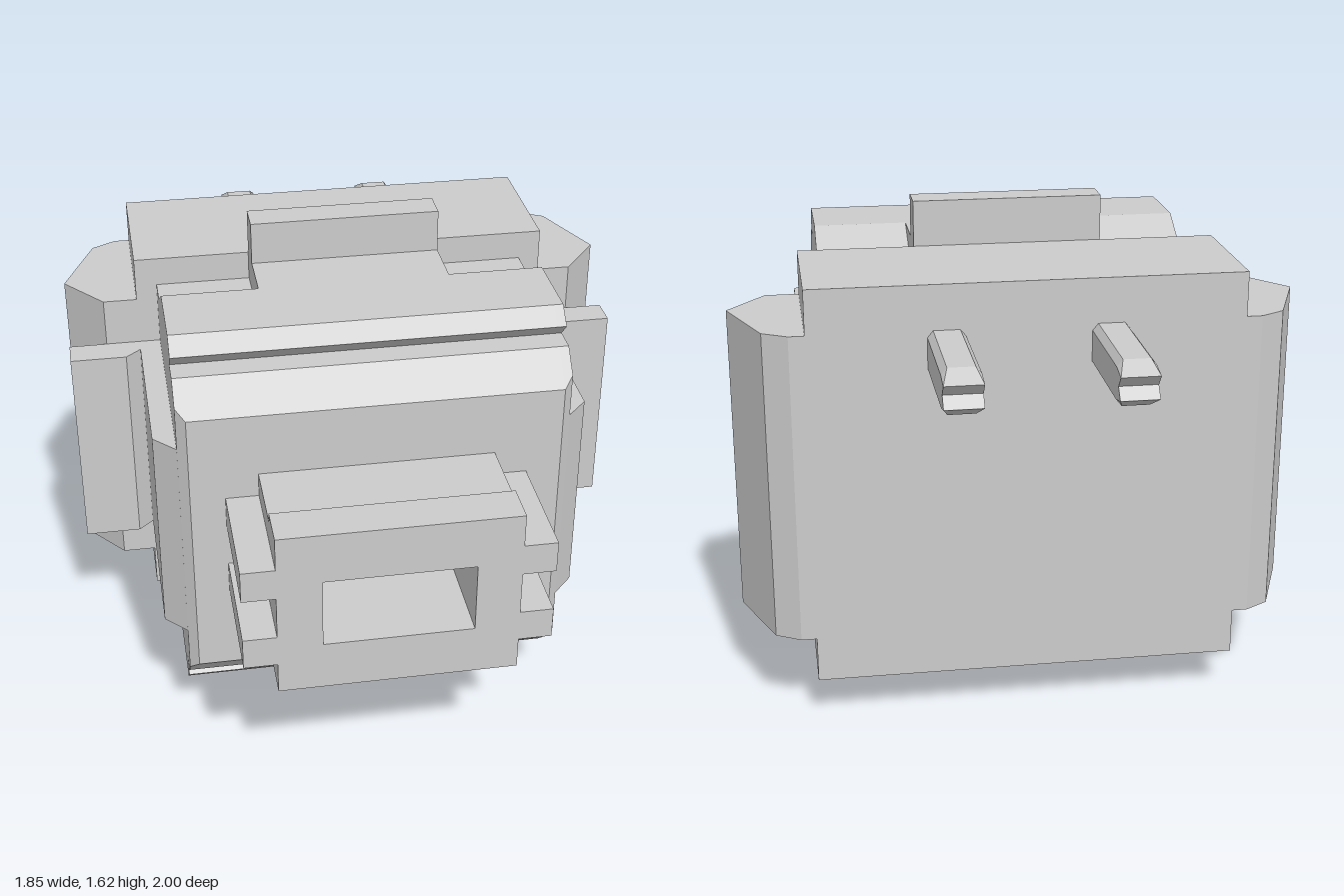
import * as THREE from 'three';

const CY = 0.81; // height of the horizontal symmetry plane
const mat = new THREE.MeshStandardMaterial({ color: 0xcccccc, flatShading: true });

const shapeOf = (pts) => new THREE.Shape(pts.map(([x, y]) => new THREE.Vector2(x, y)));
const mirrorX = (pts) => [...pts, ...pts.map(([x, y]) => [-x, y]).reverse()];
const mirrorY = (pts) => [...pts, ...pts.map(([x, y]) => [x, 2 * CY - y]).reverse()];
const extrude = (shape, depth, steps = 1) =>
  new THREE.ExtrudeGeometry(shape, { depth, steps, bevelEnabled: false });

// Move every vertex of a geometry by a rule
function reshape(geo, rule) {
  const p = geo.attributes.position;
  const v = new THREE.Vector3();
  for (let i = 0; i < p.count; i++) {
    rule(v.fromBufferAttribute(p, i));
    p.setXYZ(i, v.x, v.y, v.z);
  }
  geo.computeVertexNormals();
  return geo;
}

export function createModel() {
  const model = new THREE.Group();
  model.name = 'connector';

  const add = (name, geo) => {
    const mesh = new THREE.Mesh(geo, mat);
    mesh.name = name;
    model.add(mesh);
    return mesh;
  };
  const box = (name, x0, x1, y0, y1, z0, z1) =>
    add(name, new THREE.BoxGeometry(x1 - x0, y1 - y0, z1 - z0)
      .translate((x0 + x1) / 2, (y0 + y1) / 2, (z0 + z1) / 2));
  // Plan outline of (x, z) points, mirrored left to right and raised from y0 to y1
  const plan = (name, half, y0, y1) =>
    add(name, extrude(shapeOf(mirrorX(half.map(([x, z]) => [x, -z]))), y1 - y0)
      .rotateX(-Math.PI / 2).translate(0, y0, 0));

  // Rear housing with faceted side wings
  box('rearHousing', -0.69, 0.69, 0.15, 1.47, -0.585, -0.125);
  plan('sideWings', [[0.74, -0.585], [0.82, -0.54], [0.925, -0.28], [0.8, -0.125]], 0.3, 1.325);

  // Front body: side profile of (z, y) points with a lip and groove along top and bottom
  const profile = mirrorY([
    [-0.125, 1.375], [-0.02, 1.375], [0.16, 1.48], [0.42, 1.48],
    [0.475, 1.43], [0.425, 1.38], [0.51, 1.38], [0.605, 1.28],
  ]);
  const body = extrude(shapeOf(profile), 1.24, 3).rotateY(-Math.PI / 2).translate(0.62, 0, 0);
  // Chamfer the two upright front edges
  add('frontBody', reshape(body, (v) => {
    if (Math.abs(v.x) < 0.5) v.x = Math.sign(v.x) * 0.59;
    else if (v.z > 0.6) {
      v.z -= 0.03;
      v.y += Math.sign(v.y - CY) * 0.0315;
    }
  }));
  box('middleRib', -0.31, 0.31, 0.14, 1.48, -0.125, 0.16);

  // Thicker side panels ending in side flanges, and the flange above and below
  plan('sidePanelsAndFlanges', [
    [0.59, 0.605], [0.69, 0.5], [0.69, -0.07], [0.74, -0.025], [0.925, -0.025], [0.925, -0.125],
  ], 0.46, 1.165);
  box('verticalFlange', -0.31, 0.31, 0, 1.62, -0.125, -0.02);

  // Hollow front plug with two ribs on each side and a raised rim at its mouth
  const plugSection = (top, bottom) => {
    const s = shapeOf(mirrorX([
      [0.375, bottom], [0.375, 0.635], [0.48, 0.635], [0.48, 0.74], [0.375, 0.74],
      [0.375, 0.885], [0.48, 0.885], [0.48, 0.99], [0.375, 0.99], [0.375, top],
    ]));
    s.holes.push(new THREE.Path([[-0.235, 0.695], [-0.235, 0.93], [0.235, 0.93], [0.235, 0.695]]
      .map(([x, y]) => new THREE.Vector2(x, y))));
    return s;
  };
  add('plug', extrude(plugSection(1.07, 0.555), 0.26).translate(0, 0, 0.605));
  add('plugRim', extrude(plugSection(1.1, 0.53), 0.135).translate(0, 0, 0.865));

  // Rear pins: chamfered bars of two halves, with tapered and notched tips
  const halfPin = [[-0.06, 0], [0.06, 0], [0.06, 0.05], [0.042, 0.072], [-0.042, 0.072], [-0.06, 0.05]];
  for (const side of [-1, 1]) {
    for (const turn of [0, Math.PI]) {
      const geo = reshape(extrude(shapeOf(halfPin), 0.42, 2), (v) => {
        v.z -= 1;
        if (v.z < -0.99) {
          v.x = Math.sign(v.x) * 0.06;
          v.y = Math.min(v.y, 0.036);
          if (v.y < 0.001) v.z = -0.97;
        } else if (v.z < -0.7) v.z = -0.94;
      });
      const pin = add((side > 0 ? 'left' : 'right') + (turn ? 'PinLower' : 'PinUpper'), geo);
      pin.rotation.z = turn;
      pin.position.set(side * 0.257, 1.252, 0);
    }
  }
  return model;
}
